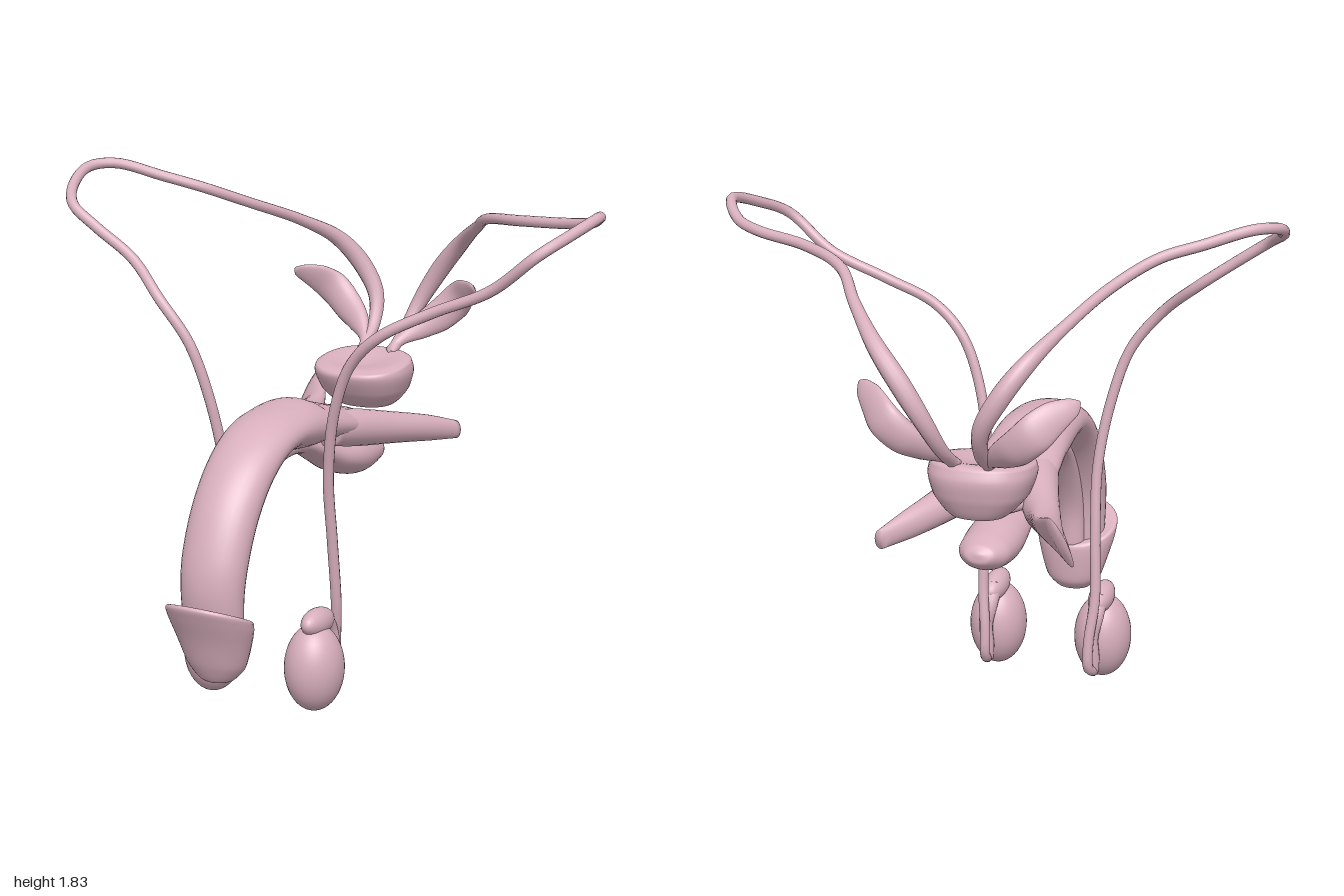
import * as THREE from 'three';

const V = (x, y, z) => new THREE.Vector3(x, y, z);
const MID = -0.11; // the anatomy's mirror plane

// Smooth closed skin over elliptical sections {c, u, v}; power < 1 squares the rings.
function loft(sections, steps, sides = 32, power = 1) {
  const [cs, us, vs] = ['c', 'u', 'v'].map(k => new THREE.CatmullRomCurve3(sections.map(s => s[k])));
  const pos = [], idx = [];
  const bend = a => Math.sign(a) * Math.abs(a) ** power;
  for (let i = 0; i <= steps; i++) {
    const t = i / steps, c = cs.getPoint(t), u = us.getPoint(t), v = vs.getPoint(t);
    for (let j = 0; j < sides; j++) {
      const a = j / sides * Math.PI * 2;
      const p = c.clone().addScaledVector(u, bend(Math.cos(a))).addScaledVector(v, bend(Math.sin(a)));
      pos.push(p.x, p.y, p.z);
      if (i < steps) {
        const k = (j + 1) % sides, A = i * sides + j, B = i * sides + k;
        idx.push(A, B, A + sides, B, B + sides, A + sides);
      }
    }
  }
  // end caps
  const n = pos.length / 3, last = steps * sides;
  for (const s of [sections[0], sections[sections.length - 1]]) pos.push(s.c.x, s.c.y, s.c.z);
  for (let j = 0; j < sides; j++) {
    const k = (j + 1) % sides;
    idx.push(n, k, j, n + 1, last + j, last + k);
  }
  // turn the faces outwards
  const P = i => V(pos[i * 3], pos[i * 3 + 1], pos[i * 3 + 2]);
  let volume = 0;
  for (let i = 0; i < idx.length; i += 3) volume += P(idx[i]).cross(P(idx[i + 1])).dot(P(idx[i + 2]));
  if (volume < 0) idx.reverse();
  const g = new THREE.BufferGeometry();
  g.setAttribute('position', new THREE.Float32BufferAttribute(pos, 3));
  g.setIndex(idx);
  g.computeVertexNormals();
  return g;
}

// Section on the mid plane from outer (z, y) to inner (z, y) with half width rx.
const mid = ([zF, yF, zB, yB, rx]) => ({
  c: V(MID, (yF + yB) / 2, (zF + zB) / 2),
  u: V(rx, 0, 0),
  v: V(0, (yF - yB) / 2, (zF - zB) / 2),
});

// Round tube along points, with radius as a function of t.
function sweep(points, radius, steps, sides = 12) {
  const curve = new THREE.CatmullRomCurve3(points.map(p => V(...p)), false, 'centripetal');
  const f = curve.computeFrenetFrames(steps);
  const sections = [];
  for (let i = 0; i <= steps; i++) {
    const r = radius(i / steps);
    sections.push({
      c: curve.getPointAt(i / steps),
      u: f.normals[i].clone().multiplyScalar(r),
      v: f.binormals[i].clone().multiplyScalar(r),
    });
  }
  return loft(sections, steps, sides);
}

export function createModel() {
  const group = new THREE.Group();
  const pink = new THREE.MeshStandardMaterial({ color: 0xd8afbd });
  pink.name = 'tissue pink';
  const add = (name, geometry, parent = group) => {
    const m = new THREE.Mesh(geometry, pink);
    m.name = name;
    parent.add(m);
    return m;
  };

  // Curved shaft
  add('shaft', loft([
    [0.70, 0.38, 0.57, 0.38, 0.11], [0.72, 0.54, 0.56, 0.52, 0.115], [0.70, 0.66, 0.54, 0.61, 0.12],
    [0.62, 0.83, 0.48, 0.73, 0.122], [0.5, 0.96, 0.4, 0.83, 0.125], [0.35, 1.04, 0.3, 0.9, 0.13],
    [0.2, 1.065, 0.2, 0.915, 0.135], [0, 1.04, 0, 0.89, 0.143], [-0.15, 0.995, -0.17, 0.86, 0.155],
    [-0.3, 0.95, -0.3, 0.84, 0.14], [-0.4, 0.9, -0.4, 0.85, 0.07],
  ].map(mid), 60));

  // Lower column swelling into a rounded bulb
  add('lowerColumn', loft([
    [0.62, 0.38, 0.54, 0.38, 0.05], [0.6, 0.55, 0.53, 0.54, 0.05], [0.52, 0.74, 0.455, 0.7, 0.05],
    [0.38, 0.88, 0.36, 0.81, 0.05], [0.2, 0.94, 0.2, 0.865, 0.05], [0.05, 0.93, 0.05, 0.86, 0.055],
    [-0.1, 0.88, -0.1, 0.785, 0.07], [-0.22, 0.84, -0.22, 0.72, 0.09], [-0.36, 0.83, -0.37, 0.675, 0.1],
    [-0.47, 0.81, -0.5, 0.69, 0.09], [-0.53, 0.79, -0.555, 0.73, 0.05], [-0.55, 0.77, -0.555, 0.76, 0.01],
  ].map(mid), 60));

  // Rounded head with a tilted rim
  add('head', loft([
    [0.63, 0.2, 0.61, 0.2, 0.01], [0.665, 0.215, 0.575, 0.21, 0.06], [0.7, 0.28, 0.545, 0.245, 0.105],
    [0.735, 0.38, 0.535, 0.31, 0.132], [0.775, 0.47, 0.532, 0.375, 0.152], [0.79, 0.51, 0.535, 0.395, 0.155],
    [0.78, 0.52, 0.545, 0.405, 0.148], [0.74, 0.5, 0.57, 0.41, 0.115],
  ].map(mid), 40));

  // Bowl-shaped gland behind
  add('gland', loft([
    [-0.51, 0.9, -0.55, 0.9, 0.02], [-0.43, 0.915, -0.62, 0.91, 0.1], [-0.365, 0.97, -0.655, 0.98, 0.16],
    [-0.328, 1.04, -0.665, 1.05, 0.18], [-0.335, 1.062, -0.65, 1.09, 0.174], [-0.38, 1.072, -0.62, 1.1, 0.135],
    [-0.47, 1.065, -0.53, 1.075, 0.03],
  ].map(mid), 36, 40, 0.85));

  // Diverging roots; the right one ends in a taller blade
  for (const [name, s, lift] of [['leftRoot', 1, 0], ['rightRoot', -1, 1]]) {
    add(name, loft([
      [0.07, 0.93, -0.05, 0.06, 0.06], [0.1, 0.905, -0.2, 0.075, 0.07], [0.17, 0.87, -0.38, 0.065, 0.06],
      [0.245, 0.84 + 0.02 * lift, -0.53, 0.045, 0.05 + 0.02 * lift],
      [0.31, 0.815 + 0.06 * lift, -0.64, 0.022, 0.035 + 0.06 * lift],
    ].map(([x, y, z, w, h], i) => ({
      c: V(MID + s * x, y, z),
      u: V(w, 0, 0),
      v: V(i > 2 ? lift * 0.03 : 0, h, i > 2 ? -0.035 * lift : 0),
    })), 28, 24));
  }

  // Leaf-shaped vesicles
  for (const [name, s] of [['leftVesicle', 1], ['rightVesicle', -1]]) {
    add(name, loft([
      [0.05, 1.09, -0.6, 0.018, 0.018], [0.075, 1.13, -0.65, 0.022, 0.02], [0.125, 1.17, -0.7, 0.045, 0.028],
      [0.19, 1.215, -0.74, 0.06, 0.034], [0.255, 1.275, -0.75, 0.064, 0.032], [0.31, 1.325, -0.71, 0.052, 0.03],
      [0.355, 1.35, -0.67, 0.03, 0.022], [0.37, 1.36, -0.655, 0.008, 0.008],
    ].map(([x, y, z, w, t]) => ({
      c: V(MID + s * x, y, z),
      u: V(-0.6 * w * s, 0.8 * w, 0),
      v: V(0.4 * t * s, 0.1 * t, t),
    })), 32, 20));
  }

  // Long ducts, thicker towards the gland
  const ducts = {
    leftDuct: [
      [0.09, 0.07, 0.155], [0.085, 0.1, 0.115], [0.085, 0.2, 0.115], [0.1, 0.36, 0.14], [0.1, 0.6, 0.17],
      [0.105, 0.85, 0.21], [0.15, 1.1, 0.25], [0.22, 1.27, 0.27], [0.33, 1.38, 0.28], [0.5, 1.47, 0.24],
      [0.7, 1.56, 0.22], [0.86, 1.69, 0.22], [0.93, 1.745, 0.12], [0.975, 1.785, -0.02], [0.9, 1.74, -0.14],
      [0.8, 1.72, -0.2], [0.6, 1.7, -0.27], [0.42, 1.67, -0.4], [0.3, 1.6, -0.58], [0.18, 1.51, -0.72],
      [0.08, 1.4, -0.765], [0, 1.27, -0.755], [-0.035, 1.17, -0.7], [-0.05, 1.09, -0.6],
    ],
    rightDuct: [
      [-0.32, 0.07, 0.155], [-0.31, 0.1, 0.115], [-0.31, 0.2, 0.115], [-0.325, 0.36, 0.14], [-0.315, 0.6, 0.17],
      [-0.31, 0.85, 0.21], [-0.35, 1.1, 0.245], [-0.41, 1.28, 0.27], [-0.52, 1.42, 0.275], [-0.66, 1.54, 0.22],
      [-0.8, 1.64, 0.23], [-0.9, 1.71, 0.22], [-0.97, 1.77, 0.1], [-0.97, 1.81, 0], [-0.9, 1.815, -0.07],
      [-0.75, 1.77, -0.14], [-0.62, 1.73, -0.2], [-0.5, 1.66, -0.34], [-0.4, 1.57, -0.55], [-0.32, 1.48, -0.7],
      [-0.25, 1.38, -0.755], [-0.19, 1.27, -0.755], [-0.17, 1.17, -0.7], [-0.17, 1.09, -0.6],
    ],
  };
  const ductRadius = t => 0.019 + 0.016 * Math.exp(-(((t - 0.9) / 0.06) ** 2));
  for (const name in ducts) add(name, sweep(ducts[name], ductRadius, 160));

  // Hanging ovals with a cap and a coil down the back
  for (const [name, x] of [['leftOval', 0.085], ['rightOval', -0.32]]) {
    const oval = new THREE.Group();
    oval.name = name;
    oval.position.set(x, 0, 0);
    group.add(oval);
    const body = add('ovalBody', new THREE.SphereGeometry(1, 36, 24), oval);
    body.scale.set(0.105, 0.158, 0.113);
    body.position.set(0, 0.168, 0.278);
    const cap = add('ovalCap', new THREE.SphereGeometry(1, 28, 18), oval);
    cap.scale.set(0.045, 0.05, 0.095);
    cap.position.set(0, 0.328, 0.253);
    cap.rotation.x = -0.12;
    add('backCoil', sweep([
      [0, 0.34, 0.22], [0, 0.28, 0.17], [0.01, 0.2, 0.155], [0, 0.12, 0.155], [0, 0.07, 0.155],
    ], t => 0.035 - 0.016 * t, 24), oval);
  }
  return group;
}
